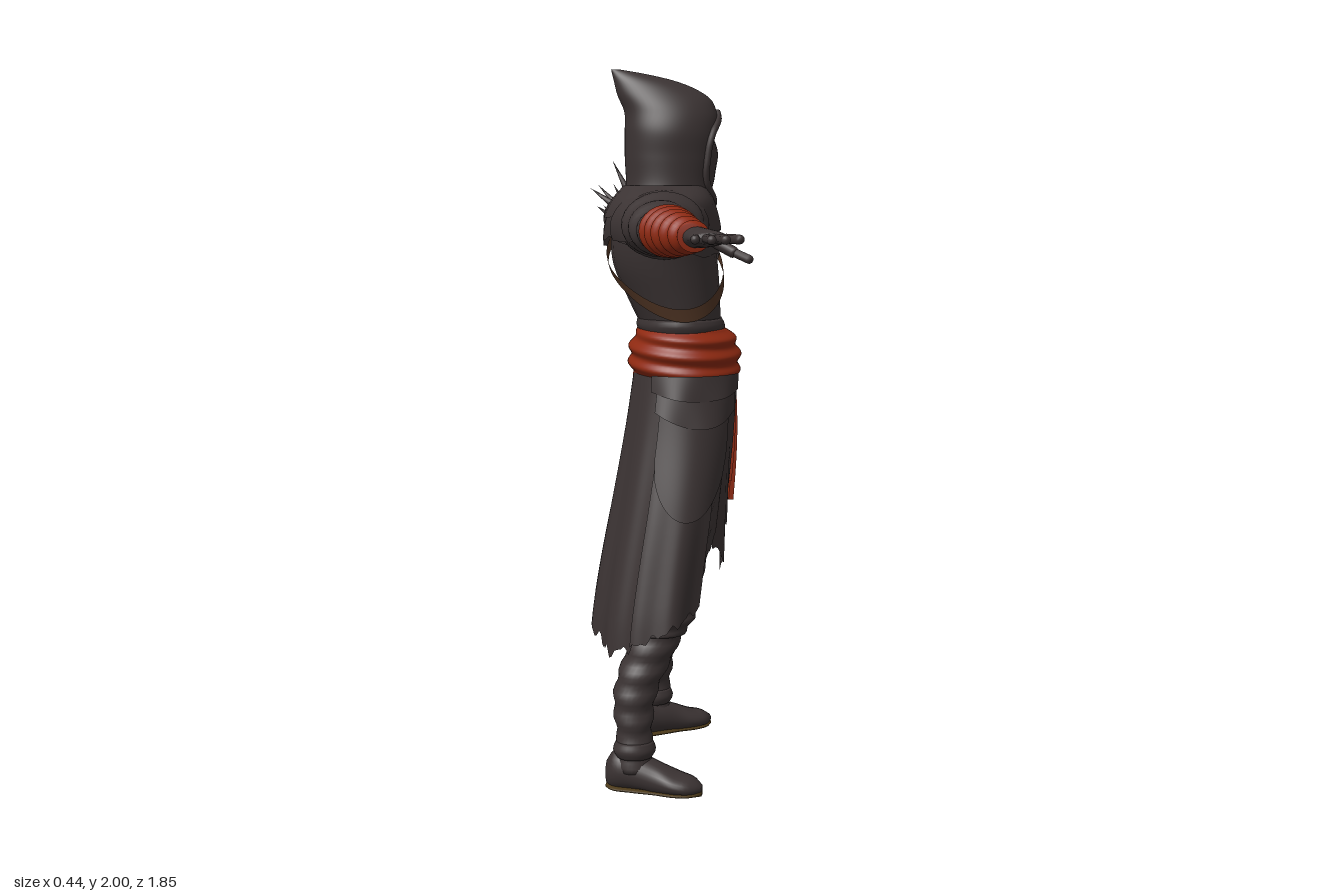
import * as THREE from 'three';

const mat = (name, color, side = THREE.DoubleSide) => {
  const m = new THREE.MeshStandardMaterial({ color, side });
  m.name = name;
  return m;
};

export function createModel() {
  const model = new THREE.Group();
  model.name = 'hoodedFigure';
  const cloth = mat('charcoalCloth', 0x3b3333);
  const red = mat('redCloth', 0x8e2911);
  const strap = mat('brownLeather', 0x4f3423);
  const sole = mat('soleLeather', 0x4a3818);
  const glow = mat('eyeRed', 0x8a2412, THREE.FrontSide);
  const { sin, cos, PI, max, abs } = Math;
  const lerp = THREE.MathUtils.lerp;

  const add = (name, geo, m) => {
    const mesh = new THREE.Mesh(geo, m);
    mesh.name = name;
    model.add(mesh);
    return mesh;
  };
  const build = (pos, idx) => {
    const g = new THREE.BufferGeometry();
    g.setAttribute('position', new THREE.Float32BufferAttribute(pos, 3));
    g.setIndex(idx);
    g.computeVertexNormals();
    return g;
  };
  // Smooth lookup in a table whose first column rises
  const table = (rows) => {
    const n = rows[0].length - 1;
    const it = new THREE.CubicInterpolant(rows.map((r) => r[0]), rows.flatMap((r) => r.slice(1)), n, new Float32Array(n));
    return (k) => Array.from(it.evaluate(k));
  };
  // Open sheet from a rule
  const sheet = (name, m, nu, nv, fn) => {
    const pos = [], idx = [];
    for (let j = 0; j <= nv; j++) for (let i = 0; i <= nu; i++) {
      pos.push(...fn(i / nu, j / nv));
      const a = j * (nu + 1) + i, b = a + nu + 1;
      if (i < nu && j < nv) idx.push(a, a + 1, b, a + 1, b + 1, b);
    }
    return add(name, build(pos, idx), m);
  };
  // Closed limb of ellipses; rows are [key, c1, c2, r1, r2] along one axis
  const loft = (name, m, axis, rows, { s = 1, n = 24, seg = 28, bump = () => 0, floor = -1 } = {}) => {
    const at = table(rows), k0 = rows[0][0], k1 = rows[rows.length - 1][0];
    const pos = [], idx = [];
    const put = (k, a, b) => {
      const p = axis === 'y' ? [a, k, b] : axis === 'z' ? [a, b, k] : [k, b, a];
      pos.push(p[0], max(floor, p[1]), p[2] * s);
    };
    for (let j = 0; j <= n; j++) {
      const k = lerp(k0, k1, j / n), [c1, c2, r1, r2] = at(k);
      for (let i = 0; i < seg; i++) {
        const t = (i / seg) * 2 * PI, d = bump(k, t);
        put(k, c1 + (r1 + d) * cos(t), c2 + (r2 + d) * sin(t));
        const a = j * seg + i, b = j * seg + ((i + 1) % seg);
        if (j < n) idx.push(a, b, a + seg, b, b + seg, a + seg);
      }
    }
    [[k0, 0], [k1, n]].forEach(([k, j], e) => {
      const [c1, c2] = at(k), c = pos.length / 3;
      put(k, c1, c2);
      for (let i = 0; i < seg; i++) {
        const a = j * seg + i, b = j * seg + ((i + 1) % seg);
        idx.push(c, ...(e ? [a, b] : [b, a]));
      }
    });
    // Turn all faces outward
    const v = (i) => new THREE.Vector3().fromArray(pos, i * 3);
    let vol = 0;
    for (let i = 0; i < idx.length; i += 3) vol += v(idx[i]).dot(v(idx[i + 1]).cross(v(idx[i + 2])));
    if (vol < 0) idx.reverse();
    return add(name, build(pos, idx), m);
  };
  // Cloth panel hung around a body table of [y, cx, rx, rz]
  const panel = (name, m, body, t0, t1, top, hem, off = 0, ripple = 0, freq = 9) =>
    sheet(name, m, 28, 18, (u, v) => {
      const t = lerp(t0, t1, u), y = lerp(top, hem(u, t), v), [cx, rx, rz] = body(y);
      const d = off + ripple * v * sin(freq * t);
      return [cx + (rx + d) * cos(t), y, (rz + d) * sin(t)];
    });
  const orient = (mesh, a, b) => {
    const d = b.clone().sub(a);
    mesh.position.copy(a).addScaledVector(d, 0.5);
    mesh.quaternion.setFromUnitVectors(new THREE.Vector3(0, 1, 0), d.normalize());
  };
  const finger = (name, a, b, r) => {
    const A = new THREE.Vector3(...a), B = new THREE.Vector3(...b);
    orient(add(name, new THREE.CapsuleGeometry(r, A.distanceTo(B) - r, 4, 10), cloth), A, B);
  };

  // Torso, belt and waist sash
  const torsoRows = [[1.1, .05, .13, .16], [1.27, .045, .112, .15], [1.36, .025, .13, .16], [1.46, 0, .148, .175],
    [1.55, -.01, .145, .185], [1.62, -.02, .125, .165], [1.67, -.02, .09, .11]];
  const torso = table(torsoRows);
  loft('torso', cloth, 'y', torsoRows.map(([y, cx, rx, rz]) => [y, cx, 0, rx, rz]));
  loft('belt', cloth, 'y', [[1.27, .045, 0, .12, .155], [1.29, .043, 0, .126, .161], [1.31, .04, 0, .12, .156]], { n: 6 });
  loft('waistSash', red, 'y', [[1.135, .055, 0, .14, .168], [1.155, .055, 0, .152, .178], [1.25, .052, 0, .147, .175],
    [1.28, .05, 0, .125, .158]], { n: 36, seg: 60, bump: (y, t) => .006 * sin(y * 130 + 2.2 * sin(t + .6)) });
  // Hanging sash ends
  [[.2, 1.2, .76, -.105, -.155, 0], [.19, 1.18, .82, -.085, -.13, 1]].forEach(([x, y0, y1, za, zb, k]) => {
    const g = new THREE.BoxGeometry(.014, y0 - y1, 1, 1, 16, 8), p = g.attributes.position;
    for (let i = 0; i < p.count; i++) {
      const v = .5 - p.getY(i) / (y0 - y1), u = p.getZ(i);
      p.setX(i, p.getX(i) + x + .012 * sin(v * PI) + .004 * sin(u * 14 + k));
      p.setY(i, lerp(y0, y1, v));
      p.setZ(i, (za + zb) / 2 + u * (.045 + .035 * v));
    }
    g.computeVertexNormals();
    add('sashEnd', g, red);
  });
  const knot = add('sashKnot', new THREE.SphereGeometry(1, 16, 12), red);
  knot.scale.set(.025, .05, .04);
  knot.position.set(.185, 1.21, -.115);

  // Diagonal chest strap
  sheet('chestStrap', strap, 64, 2, (u, v) => {
    const t = u * 2 * PI, y = 1.455 - .13 * sin(t) + .018 - .036 * v, [cx, rx, rz] = torso(y);
    return [cx + (rx + .014) * cos(t), y, (rz + .014) * sin(t)];
  });

  // Shoulder mantle in two layers
  const mantle = table([[1.4, .01, .148, .18], [1.5, -.012, .158, .2], [1.58, -.015, .155, .215], [1.64, -.01, .135, .2], [1.68, 0, .11, .11]]);
  panel('mantleLower', cloth, mantle, 0, 2 * PI, 1.64, (u, t) => 1.5 - .03 * cos(t + .5) + .012 * sin(5 * t), 0, .006, 8);
  panel('mantleUpper', cloth, mantle, 0, 2 * PI, 1.68, (u, t) => 1.575 - .025 * cos(t) + .008 * sin(6 * t), .009, .005, 7);
  loft('collarFold', cloth, 'y', [[1.56, .01, 0, .11, .12], [1.6, .01, 0, .135, .135], [1.66, .005, 0, .12, .112]], { bump: (y, t) => .005 * sin(y * 150 + 2 * cos(t)) });

  // Hood with pointed opening and swept-back tip
  const hood = table([[1.57, -.005, .132, .13, .02], [1.63, .005, .13, .115, .1], [1.68, .01, .123, .104, .6],
    [1.76, .015, .13, .102, .75], [1.83, .017, .132, .102, .58], [1.885, .014, .13, .086, .06], [1.93, -.01, .125, .062, 0],
    [1.97, -.06, .085, .034, 0], [1.99, -.108, .042, .014, 0], [2, -.14, .012, .004, 0]]);
  const hoodPoint = (t, y, cx, rx, rz) => [cx + rx * cos(t), y, rz * sin(t)];
  sheet('hood', cloth, 48, 50, (u, v) => {
    const y = lerp(2, 1.57, v), [cx, rx, rz, a] = hood(y), o = max(0, a);
    return hoodPoint(lerp(o, 2 * PI - o, u), y, cx, rx, rz);
  });
  for (const s of [-1, 1]) {
    const pts = [];
    for (let i = 0; i <= 14; i++) {
      const y = lerp(1.63, 1.885, i / 14), [cx, rx, rz, a] = hood(y);
      pts.push(new THREE.Vector3(...hoodPoint(s * max(.02, a), y, cx, rx, rz)));
    }
    add('hoodRim', new THREE.TubeGeometry(new THREE.CatmullRomCurve3(pts), 40, .011, 8), cloth);
  }
  // Masked face and eyes
  loft('maskedHead', cloth, 'y', [[1.6, .03, 0, .065, .06], [1.655, .055, 0, .07, .05], [1.7, .04, 0, .098, .068],
    [1.76, .035, 0, .1, .08], [1.83, .03, 0, .095, .084], [1.89, .02, 0, .06, .055]],
    { bump: (y, t) => .014 * Math.exp(-(((y - 1.77) / .04) ** 2)) * max(0, cos(t)) ** 14 });
  for (const s of [-1, 1]) {
    const eye = add('eye', new THREE.SphereGeometry(1, 14, 10), glow);
    eye.scale.set(.0045, .009, .021);
    eye.position.set(.116, 1.808, s * .04);
    eye.rotation.set(s * .2, -s * .5, 0);
  }

  // Arms, forearm wraps and hands
  for (const s of [-1, 1]) {
    loft('sleeve', cloth, 'z', [[.06, -.02, 1.56, .1, .09], [.18, -.02, 1.575, .12, .092], [.26, -.035, 1.57, .1, .076],
      [.34, -.042, 1.56, .074, .06], [.42, -.042, 1.563, .062, .054], [.49, -.042, 1.567, .066, .058]],
      { s, n: 40, bump: (z, t) => .004 * sin(z * 85 + 2 * sin(t)) });
    const wraps = s > 0 ? .005 : .0025;
    loft('forearmWrap', red, 'z', [[.475, -.04, 1.567, .06, .054], [.49, -.04, 1.567, .07, .06], [.58, -.032, 1.563, .064, .056],
      [.66, -.016, 1.56, .05, .045], [.73, .002, 1.557, .037, .032]],
      { s, n: 60, bump: (z, t) => wraps * sin(z * 150 + 1.6 * sin(t + 1)) });
    loft('palm', cloth, 'z', [[.71, .002, 1.557, .033, .027], [.75, .016, 1.556, .038, .024], [.8, .028, 1.556, .046, .019],
      [.825, .032, 1.555, .044, .013]], { s, n: 12 });
    [[-.004, -.014, .89], [.02, .022, .918], [.044, .056, .912], [.066, .092, .89]].forEach(([xa, xb, z]) => {
      finger('finger', [xa, 1.556, s * .81], [xb, 1.556, s * z], .0115);
    });
    finger('thumb', [.045, 1.548, s * .75], [.095, 1.52, s * .775], .014);
    finger('thumbTip', [.092, 1.522, s * .773], [.128, 1.505, s * .802], .011);
  }
  // Cloth cap on the right shoulder
  for (let i = 0; i < 2; i++) {
    sheet('shoulderCape', cloth, 24, 10, (u, v) => {
      const f = lerp(-1.9, 1.9, u), z = lerp(.12, .27 + .05 * i + .015 * sin(f * 5), v), w = 1 - .28 * v - .1 * i * v;
      return [-.025 + .14 * w * sin(f), 1.565 - .01 * v + .108 * w * cos(f), z];
    });
  }

  // Spiked pauldron on the left shoulder
  for (let i = 0; i < 4; i++) {
    const c = new THREE.Vector3(-.015 - .005 * i, 1.585 - .018 * i, -.16 - .065 * i);
    const rx = .152 - .014 * i, ry = .105 - .01 * i;
    const plate = add('pauldronPlate', new THREE.SphereGeometry(1, 28, 12, 0, 2 * PI, 0, PI * .62), cloth);
    plate.scale.set(rx, ry, .075);
    plate.position.copy(c);
    plate.rotation.x = -.25;
    for (let k = 0; k < 5; k++) {
      const f = -1.1 + k * .5 + (i % 2) * .2, len = .075 + .035 * cos(f) * ((i + k) % 2 ? 1 : .4);
      const base = c.clone().add(new THREE.Vector3(.92 * rx * sin(f), .9 * ry * cos(f), -.015));
      const dir = new THREE.Vector3(.7 * sin(f), cos(f), -.25 - .22 * i).normalize();
      orient(add('pauldronSpike', new THREE.ConeGeometry(.011, len, 8), cloth), base, base.clone().addScaledVector(dir, len));
    }
  }

  // Coat skirt: back halves, sides, hip flaps and front panel
  const coat = table([[.36, -.045, .17, .315], [.45, -.04, .17, .308], [.6, -.02, .168, .283], [.8, .012, .163, .245],
    [1, .04, .155, .2], [1.16, .05, .14, .166]]);
  const jag = (t) => .012 * sin(23 * t) + .008 * sin(41 * t);
  for (const s of [-1, 1]) {
    const arc = (name, a, b, top, hem, off, rip, fr) => s > 0
      ? panel(name, cloth, coat, a, b, top, hem, off, rip, fr)
      : panel(name, cloth, coat, -b, -a, top, (u, t) => hem(1 - u, -t), off, rip, fr);
    arc('coatBack', 1.9, 3.12, 1.16, (u, t) => .44 - .05 * sin(u * PI) + jag(t), 0, .008, 11);
    arc('coatSide', .95, 2.05, 1.16, (u, t) => .52 - .1 * u + jag(t) * .6, .007, .006, 10);
    arc('innerSkirt', .3, 1.05, 1.16, (u, t) => .74 - .1 * u + jag(t), -.012, .006, 12);
    arc('hipFlap', .8, 2.05, 1.1, (u) => .93 - .165 * sin(u * PI) ** .5, .02, .004, 6);
    arc('hipFoldMiddle', .65, 2.1, 1.14, (u) => 1.06 - .045 * sin(u * PI), .029, .005, 7);
    arc('hipFoldUpper', .6, 2.2, 1.16, (u) => 1.115 - .025 * sin(u * PI), .036, .004, 8);
  }
  // Front tabard, tapering to a point
  for (const [w, tip, x] of [[.125, .57, .007], [.1, .68, .016]]) {
    sheet('frontTabard', cloth, 20, 24, (u, v) => {
      const k = 2 * u - 1, y = lerp(1.17, tip + .1 * abs(k) + .012 * sin(11 * k), v);
      const half = w * (1 - .1 * v);
      return [.193 - .035 * v + x - .04 * k * k + .006 * v * sin(7 * k + 5 * v), y, half * k];
    });
  }

  // Legs with wrapped shins, and shoes turned outward
  for (const [s, dx] of [[1, -.11], [-1, -.015]]) {
    const back = dx + .015;
    loft('leg', cloth, 'y', [[.06, dx, s * .245, .048, .045], [.14, dx, s * .245, .048, .043], [.28, dx + .005, s * .225, .06, .054],
      [.4, back * .6 + .0, s * .2, .07, .064], [.56, back * .2 + .02, s * .175, .078, .074], [.75, .03, s * .14, .092, .09],
      [1.1, .04, s * .08, .1, .08]],
      { n: 70, bump: (y, t) => (y < .56 ? .004 : .0025) * sin(y * 95 + 1.5 * sin(t)) });
    const shoe = [[-.08, 0, .045, .018, .035], [-.06, 0, .055, .042, .055], [0, 0, .055, .05, .055], [.07, 0, .04, .05, .045],
      [.13, 0, .03, .055, .03], [.17, 0, .025, .042, .024], [.195, 0, .022, .014, .01]];
    const upper = loft('shoe', cloth, 'x', shoe, { floor: .012 });
    const tread = loft('shoeSole', sole, 'x', shoe.map(([x, z, , rz]) => [x, z, .008, rz * .97, .008]));
    for (const m of [upper, tread]) {
      m.position.set(dx, 0, s * .24);
      m.rotation.y = -s * .38;
    }
    loft('ankleCuff', cloth, 'y', [[.1, dx, s * .245, .05, .048], [.12, dx, s * .245, .06, .055], [.145, dx, s * .245, .052, .048]], { n: 8 });
    loft('kneeWrap', cloth, 'y', [[.44, dx * .5 + .02, s * .195, .07, .066], [.48, dx * .4 + .02, s * .19, .086, .08],
      [.54, dx * .25 + .025, s * .18, .08, .076]], { n: 16, bump: (y) => .004 * sin(y * 160) });
  }
  return model;
}
